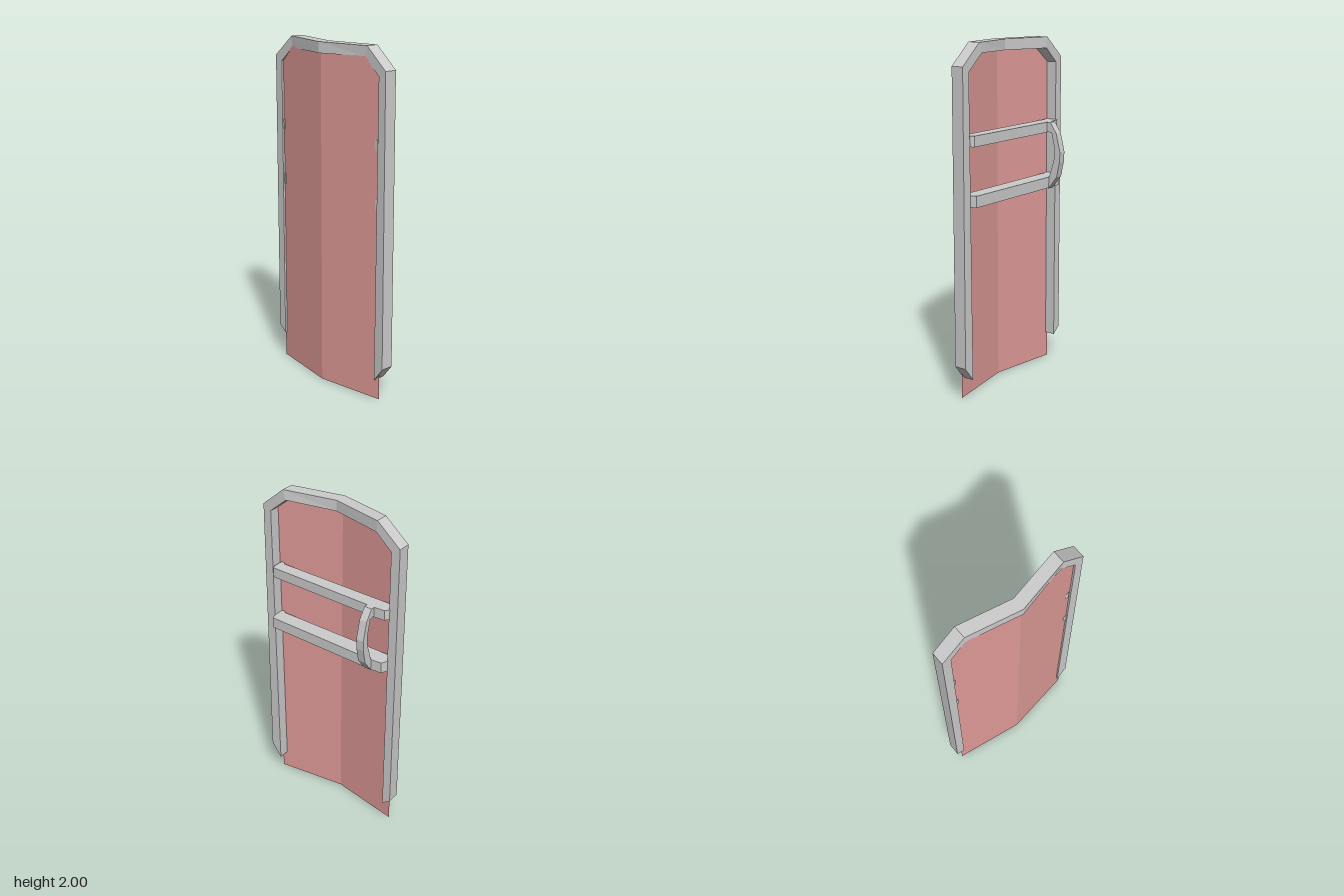
import * as THREE from 'three';

const grey = new THREE.MeshStandardMaterial({ color: 0xcccccc, flatShading: true });
const pink = new THREE.MeshStandardMaterial({ color: 0xde9a97, flatShading: true, side: THREE.DoubleSide });

const shapeOf = (pts) => new THREE.Shape(pts.map(([a, b]) => new THREE.Vector2(a, b)));

function addMesh(parent, name, geometry, material = grey) {
  const mesh = new THREE.Mesh(geometry, material);
  mesh.name = name;
  parent.add(mesh);
  return mesh;
}

// Solid swept through four-cornered sections, closed at both ends
function loft(sections) {
  const index = [];
  const last = (sections.length - 1) * 4;
  for (let i = 0; i < last; i += 4) {
    for (let k = 0; k < 4; k++) {
      const n = (k + 1) % 4;
      index.push(i + k, i + n, i + 4 + n, i + k, i + 4 + n, i + 4 + k);
    }
  }
  index.push(0, 2, 1, 0, 3, 2, last, last + 1, last + 2, last, last + 2, last + 3);
  const g = new THREE.BufferGeometry();
  g.setAttribute('position', new THREE.Float32BufferAttribute(sections.flat(2), 3));
  g.setIndex(index);
  const flat = g.toNonIndexed();
  flat.computeVertexNormals();
  return flat;
}

// Horizontal slab from an outline in x and z
function slab(outline, top, height) {
  const g = new THREE.ExtrudeGeometry(shapeOf(outline), { depth: height, bevelEnabled: false });
  return g.rotateX(Math.PI / 2).translate(0, top, 0);
}

export function createModel() {
  const model = new THREE.Group();
  model.name = 'shield';

  // Thin panel, two flat halves folded forward along the middle
  const panel = new THREE.Group();
  panel.name = 'panel';
  model.add(panel);
  for (const s of [1, -1]) {
    const g = new THREE.ShapeGeometry(shapeOf([
      [0, 0], [s * 0.418, 0], [s * 0.418, 1.845], [s * 0.3, 1.945], [0, 1.945],
    ]));
    const p = g.attributes.position;
    for (let i = 0; i < p.count; i++) p.setZ(i, 0.115 - 0.155 * Math.abs(p.getX(i)));
    g.computeVertexNormals();
    addMesh(panel, s > 0 ? 'leftPanelHalf' : 'rightPanelHalf', g, pink);
  }

  // Rim: outer x, y, inner x, y, back z; open at the bottom
  const rim = [
    [-0.457, 0.195, -0.405, 0.155, -0.01],
    [-0.453, 1.88, -0.4, 1.85, -0.01],
    [-0.31, 2, -0.305, 1.935, -0.01],
    [0, 2, 0, 1.938, 0.057],
    [0.31, 2, 0.29, 1.943, -0.01],
    [0.45, 1.88, 0.4, 1.85, -0.01],
    [0.455, 0.2, 0.39, 0.115, -0.01],
  ];
  addMesh(model, 'rim', loft(rim.map(([ox, oy, ix, iy, z]) => [
    [ox, oy, z], [ox, oy, z + 0.075], [ix, iy, z + 0.075], [ix, iy, z],
  ])));

  // Two cross bars behind the panel, their ends chamfered
  const bar = (back, rightX, leftX) => [
    [rightX, 0.058], [rightX - 0.005, -0.01], [rightX + 0.013, back + 0.005], [-0.32, back],
    [leftX - 0.01, back + 0.01], [leftX, -0.01], [leftX, 0.058],
    [leftX - 0.02, 0.058], [leftX - 0.03, 0.045], [rightX + 0.02, 0.045], [rightX + 0.01, 0.058],
  ];
  addMesh(model, 'upperBar', slab(bar(-0.037, -0.4, 0.39), 1.51, 0.06));
  addMesh(model, 'lowerBar', slab(bar(-0.053, -0.4, 0.395), 1.185, 0.065));

  // Upright bowed grip, outline in z and y
  const grip = shapeOf([
    [-0.01, 1.51], [-0.06, 1.51], [-0.102, 1.45], [-0.13, 1.34], [-0.127, 1.28], [-0.108, 1.19],
    [-0.05, 1.115], [-0.03, 1.13], [-0.03, 1.18], [-0.052, 1.18], [-0.09, 1.3], [-0.093, 1.35],
    [-0.07, 1.45], [-0.01, 1.46],
  ]);
  const gripGeo = new THREE.ExtrudeGeometry(grip, { depth: 0.046, bevelEnabled: false });
  addMesh(model, 'grip', gripGeo.rotateY(-Math.PI / 2).translate(-0.277, 0, 0));

  return model;
}
